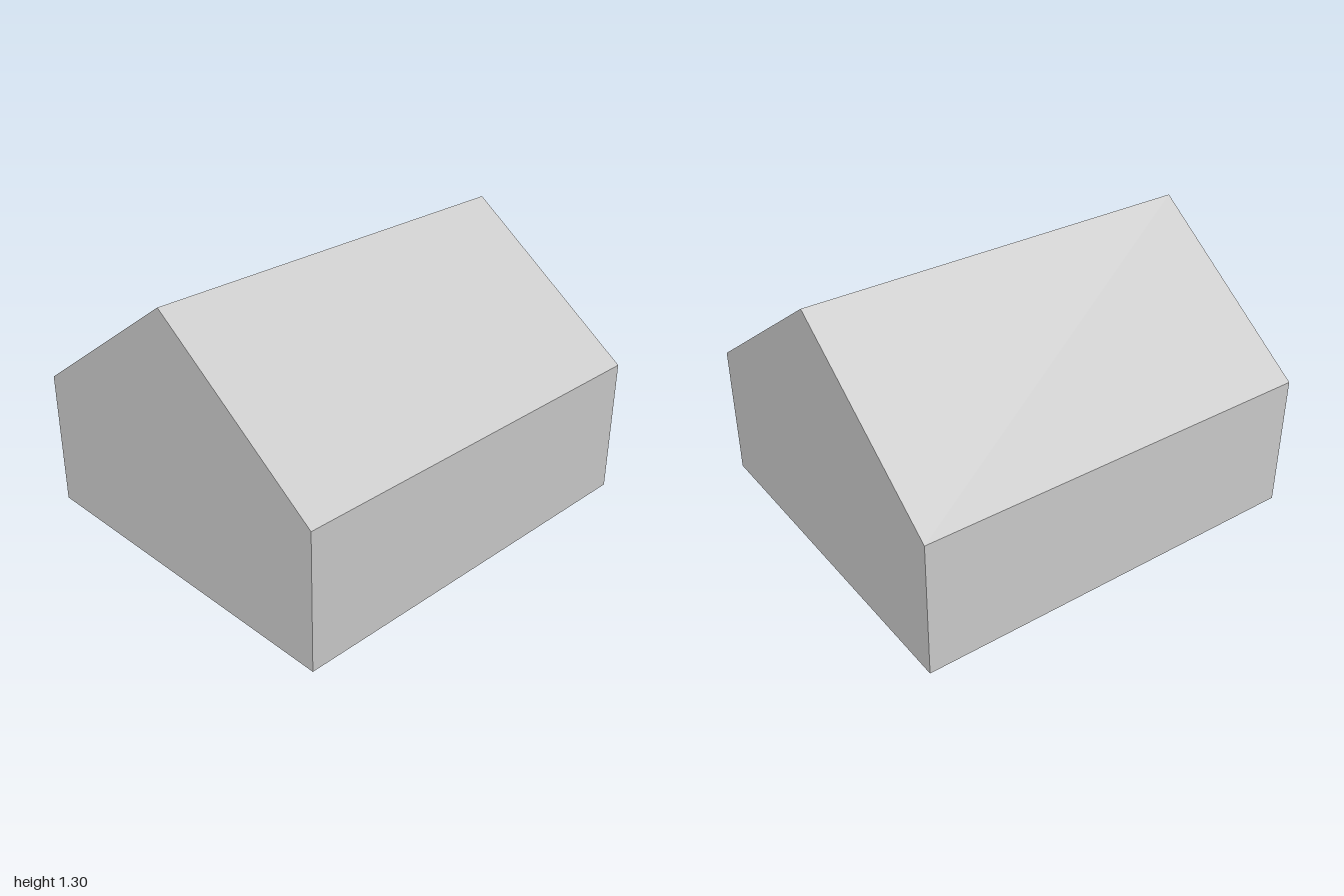
import * as THREE from 'three';

const LENGTH = 2, HALF_DEPTH = 0.885, EAVE = 0.67, RIDGE = 1.3;

export function createModel() {
  const group = new THREE.Group();
  group.name = 'gabledHouse';

  // Gable outline: walls up to the eaves, then two slopes to the ridge
  const gable = new THREE.Shape([
    [-HALF_DEPTH, 0],
    [HALF_DEPTH, 0],
    [HALF_DEPTH, EAVE],
    [0, RIDGE],
    [-HALF_DEPTH, EAVE],
  ].map(([z, y]) => new THREE.Vector2(z, y)));

  // Closed prism with its ridge along x
  const geometry = new THREE.ExtrudeGeometry(gable, { depth: LENGTH, bevelEnabled: false });
  geometry.translate(0, 0, -LENGTH / 2);
  geometry.rotateY(Math.PI / 2);

  const material = new THREE.MeshStandardMaterial({ color: 0xcccccc, flatShading: true });
  const body = new THREE.Mesh(geometry, material);
  body.name = 'houseBody';
  group.add(body);
  return group;
}
